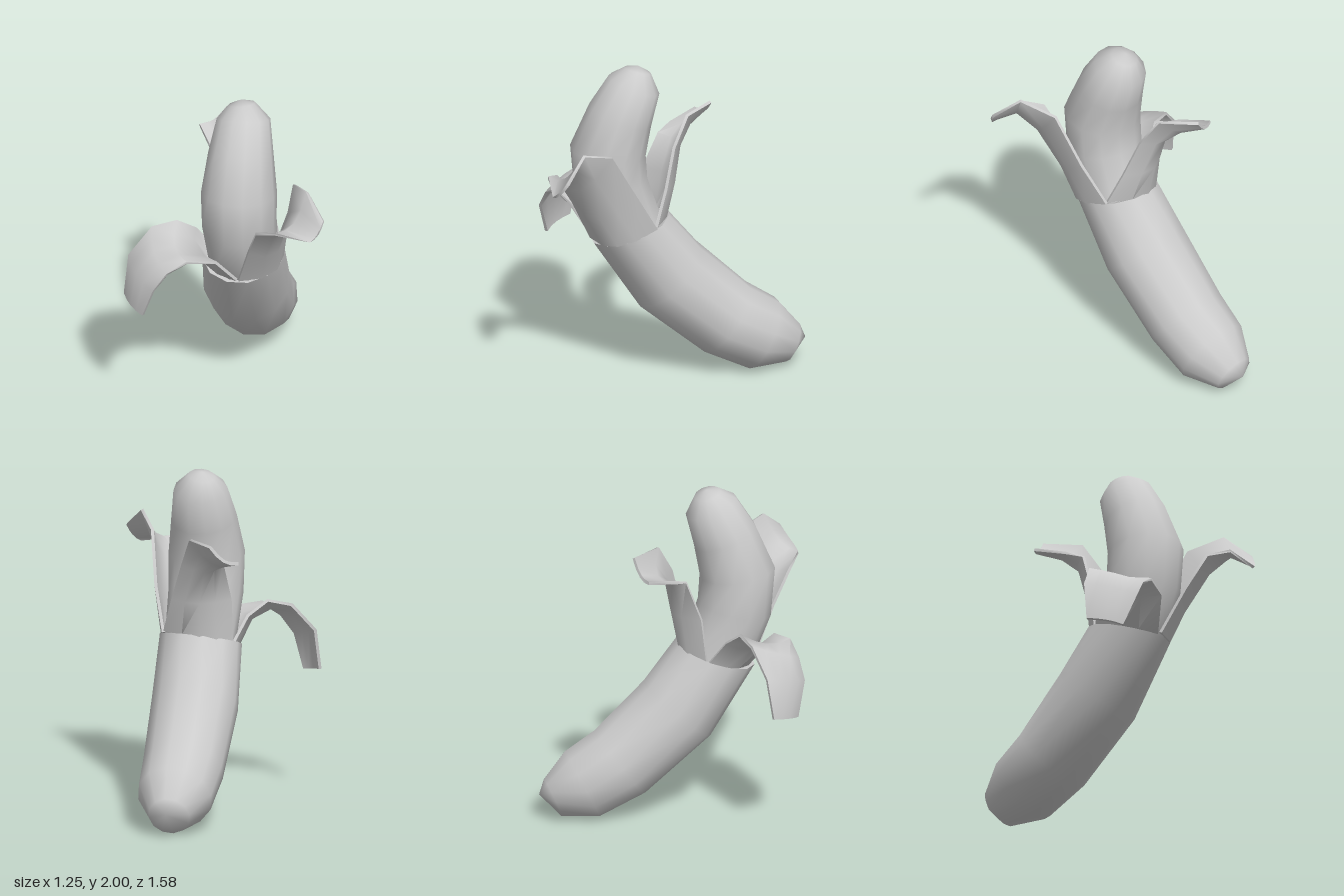
import * as THREE from 'three';
import { toCreasedNormals } from 'three/addons/utils/BufferGeometryUtils.js';

const V = (p) => new THREE.Vector3(...p);
const SIDES = 12;

// Skins a list of equal-length closed rings; ends are closed around the given points (or left open)
function loft(rings, startPoint, endPoint) {
  const n = rings[0].length;
  const points = rings.flat();
  const index = [];
  for (let i = 0; i < rings.length - 1; i++) {
    for (let j = 0; j < n; j++) {
      const k = (j + 1) % n;
      const a = i * n + j, b = i * n + k, c = a + n, d = b + n;
      index.push(a, c, b, b, c, d);
    }
  }
  const cap = (center, first, flip) => {
    const m = points.push(center) - 1;
    for (let j = 0; j < n; j++) {
      const a = first + j, b = first + (j + 1) % n;
      if (flip) index.push(m, b, a);
      else index.push(m, a, b);
    }
  };
  if (startPoint) cap(startPoint, 0, false);
  if (endPoint) cap(endPoint, (rings.length - 1) * n, true);
  const g = new THREE.BufferGeometry().setFromPoints(points);
  g.setIndex(index);
  return toCreasedNormals(g, 1.2);
}

// Round ring of radius r around c, square to direction t
function ring(c, r, t) {
  const T = t.clone().normalize();
  const u = new THREE.Vector3(1, 0, 0).addScaledVector(T, -T.x).normalize();
  const v = u.clone().cross(T);
  return Array.from({ length: SIDES }, (_, j) => {
    const a = (j / SIDES) * Math.PI * 2;
    return c.clone().addScaledVector(u, r * Math.cos(a)).addScaledVector(v, r * Math.sin(a));
  });
}

// Rings along sections [x, y, z, radius]; endDir sets the tilt of the last ring
function tubeRings(sections, endDir) {
  const c = sections.map((s) => V(s.slice(0, 3)));
  const last = c.length - 1;
  return c.map((p, i) => {
    const t = i === last && endDir ? endDir
      : c[Math.min(i + 1, last)].clone().sub(c[Math.max(i - 1, 0)]);
    return ring(p, sections[i][3], t);
  });
}

// Thick curved strip; each station lists its first edge, middle and second edge
function flapGeometry(stations, thickness = 0.018, cols = 4) {
  const grid = stations.map((s) => {
    const [a, m, b] = s.map(V);
    return Array.from({ length: cols + 1 }, (_, j) => {
      const t = j / cols;
      return new THREE.Vector3()
        .addScaledVector(a, (1 - t) * (1 - 2 * t))
        .addScaledVector(m, 4 * t * (1 - t))
        .addScaledVector(b, t * (2 * t - 1));
    });
  });
  const end = grid.length - 1;
  const rings = grid.map((row, i) => {
    const inner = row.map((p, j) => {
      const across = row[Math.min(j + 1, cols)].clone().sub(row[Math.max(j - 1, 0)]);
      const along = grid[Math.min(i + 1, end)][j].clone().sub(grid[Math.max(i - 1, 0)][j]);
      return p.clone().addScaledVector(across.cross(along).normalize(), thickness);
    });
    return [...row, ...inner.reverse()];
  });
  const middle = (r) => r[cols / 2].clone().lerp(r[cols + 1 + cols / 2], 0.5);
  return loft(rings, middle(rings[0]), middle(rings[end]));
}

export function createModel() {
  const group = new THREE.Group();
  const material = new THREE.MeshStandardMaterial({ color: 0xcccccc, side: THREE.DoubleSide });
  const add = (name, geometry) => {
    const mesh = new THREE.Mesh(geometry, material);
    mesh.name = name;
    group.add(mesh);
  };

  // Unopened lower peel, with the rim turned inward
  const rimDir = V([0.03, 0.95, 0.31]);
  const peel = tubeRings([
    [-0.34, 0.12, -0.705, 0.125],
    [-0.285, 0.195, -0.535, 0.225],
    [-0.225, 0.32, -0.32, 0.243],
    [-0.125, 0.635, 0.01, 0.258],
    [-0.045, 0.975, 0.23, 0.245],
  ], rimDir);
  peel.push(ring(V([-0.045, 0.965, 0.227]), 0.2, rimDir));
  add('lowerPeel', loft(peel, V([-0.36, 0.145, -0.785])));

  // Bare fruit
  const fruit = tubeRings([
    [-0.08, 0.8, 0.13, 0.19],
    [-0.035, 1.0, 0.25, 0.212],
    [-0.02, 1.25, 0.34, 0.222],
    [-0.015, 1.475, 0.357, 0.226],
    [-0.035, 1.7, 0.285, 0.195],
    [-0.055, 1.89, 0.205, 0.16],
    [-0.075, 1.975, 0.185, 0.08],
  ]);
  add('fruit', loft(fruit, V([-0.08, 0.8, 0.13]), V([-0.08, 2.0, 0.18])));

  // Peel strip folded over to the right front
  add('rightPeelFlap', flapGeometry([
    [[0.01, 0.91, 0.45], [-0.21, 0.93, 0.39], [-0.28, 0.97, 0.21]],
    [[-0.06, 1.09, 0.59], [-0.25, 1.07, 0.47], [-0.32, 1.12, 0.32]],
    [[-0.2, 1.11, 0.69], [-0.34, 1.12, 0.57], [-0.4, 1.2, 0.41]],
    [[-0.3, 1.04, 0.74], [-0.43, 1.1, 0.64], [-0.51, 1.17, 0.49]],
    [[-0.37, 0.93, 0.78], [-0.51, 0.97, 0.71], [-0.61, 1.01, 0.59]],
    [[-0.45, 0.73, 0.75], [-0.54, 0.75, 0.71], [-0.62, 0.77, 0.63]],
  ]));

  // Peel strip leaning out to the left front
  add('leftPeelFlap', flapGeometry([
    [[0.12, 1.03, 0.05], [0.2, 0.945, 0.28], [0.03, 0.92, 0.46]],
    [[0.23, 1.28, 0.16], [0.25, 1.14, 0.38], [0.14, 1.2, 0.56]],
    [[0.33, 1.58, 0.3], [0.35, 1.37, 0.49], [0.23, 1.4, 0.65]],
    [[0.48, 1.65, 0.45], [0.45, 1.48, 0.56], [0.37, 1.45, 0.68]],
    [[0.62, 1.53, 0.53], [0.605, 1.46, 0.58], [0.57, 1.42, 0.62]],
  ]));

  // Peel strip standing up at the back
  add('backPeelFlap', flapGeometry([
    [[-0.28, 0.98, 0.2], [-0.15, 1.03, 0.02], [0.11, 1.04, 0.05]],
    [[-0.285, 1.25, 0.17], [-0.17, 1.25, -0.02], [0.03, 1.25, 0.0]],
    [[-0.28, 1.48, 0.08], [-0.22, 1.45, -0.05], [-0.06, 1.48, -0.04]],
    [[-0.36, 1.5, 0.02], [-0.3, 1.52, -0.1], [-0.15, 1.65, -0.11]],
    [[-0.49, 1.54, -0.12], [-0.42, 1.56, -0.18], [-0.35, 1.65, -0.23]],
  ]));

  return group;
}
